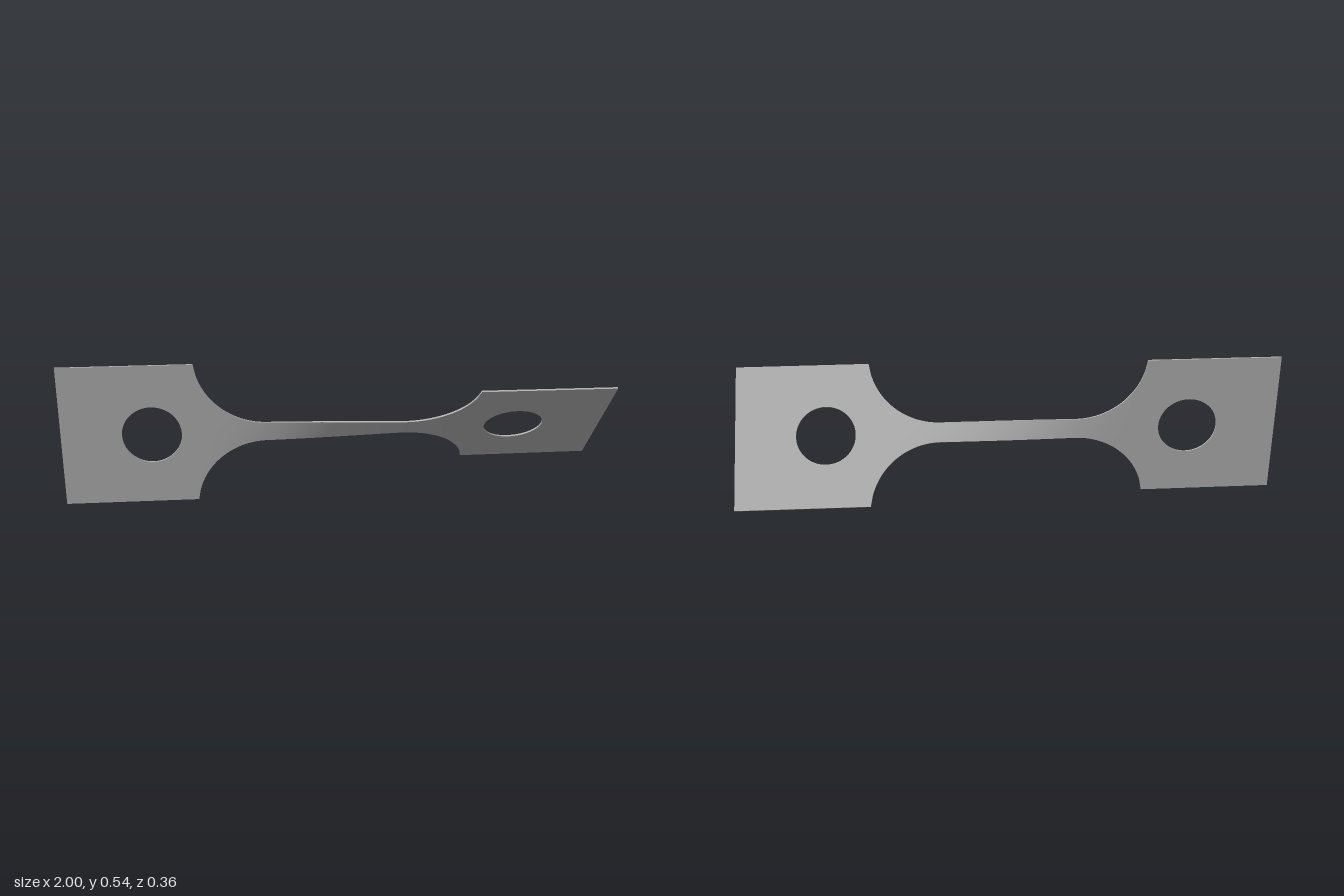
import * as THREE from 'three';

const HALF = 0.27;        // half width of the grips
const NECK = 0.037;       // half width of the neck
const THICK = 0.006;
const SHOULDER = 0.51;    // x where the grips begin
const FILLET_X = 0.25;    // x where the fillets begin
const dx = SHOULDER - FILLET_X, dy = HALF - NECK;
const RADIUS = (dx * dx + dy * dy) / (2 * dy);

// Twist about the long axis: nearly all of it happens in the neck
function twistAngle(x) {
  const t = THREE.MathUtils.clamp(x / 0.45, -1, 1);
  return THREE.MathUtils.degToRad(20.7 + 20 * (1.5 * t - 0.5 * t ** 3) + 0.7 * x);
}

function twist(geometry) {
  const p = geometry.attributes.position;
  for (let i = 0; i < p.count; i++) {
    const x = p.getX(i), y = p.getY(i), z = p.getZ(i), a = twistAngle(x);
    p.setXYZ(i, x, y * Math.cos(a) - z * Math.sin(a), y * Math.sin(a) + z * Math.cos(a));
  }
  geometry.translate(0, HALF, 0);
  geometry.computeVertexNormals();
  return geometry;
}

// Half width of the strip between the shoulders: straight neck and round fillets
function halfWidth(x) {
  const d = Math.max(0, Math.abs(x) - FILLET_X);
  return NECK + RADIUS - Math.sqrt(RADIUS * RADIUS - d * d);
}

// Flat end plate with a round hole
function gripGeometry(side) {
  const a = Math.min(side, side * SHOULDER), b = Math.max(side, side * SHOULDER);
  const shape = new THREE.Shape([
    new THREE.Vector2(a, -HALF), new THREE.Vector2(b, -HALF),
    new THREE.Vector2(b, HALF), new THREE.Vector2(a, HALF),
  ]);
  const hole = new THREE.Path();
  hole.absarc(side * 0.67, 0, 0.109, 0, Math.PI * 2, true);
  shape.holes.push(hole);
  const g = new THREE.ExtrudeGeometry(shape, { depth: THICK, bevelEnabled: false, curveSegments: 32 });
  return twist(g.translate(0, 0, -THICK / 2));
}

// Twisted neck flaring into the grips
function neckGeometry() {
  const g = new THREE.BoxGeometry(2 * SHOULDER, 2, THICK, 120, 8, 1);
  const p = g.attributes.position;
  for (let i = 0; i < p.count; i++) p.setY(i, p.getY(i) * halfWidth(p.getX(i)));
  return twist(g);
}

export function createModel() {
  const metal = new THREE.MeshStandardMaterial({ color: 0xb4b4b4 });
  metal.name = 'grey metal';
  const model = new THREE.Group();
  model.name = 'twistedTestStrip';
  const add = (name, geometry) => {
    const mesh = new THREE.Mesh(geometry, metal);
    mesh.name = name;
    model.add(mesh);
  };
  add('leftGrip', gripGeometry(1));
  add('rightGrip', gripGeometry(-1));
  add('neck', neckGeometry());
  return model;
}
